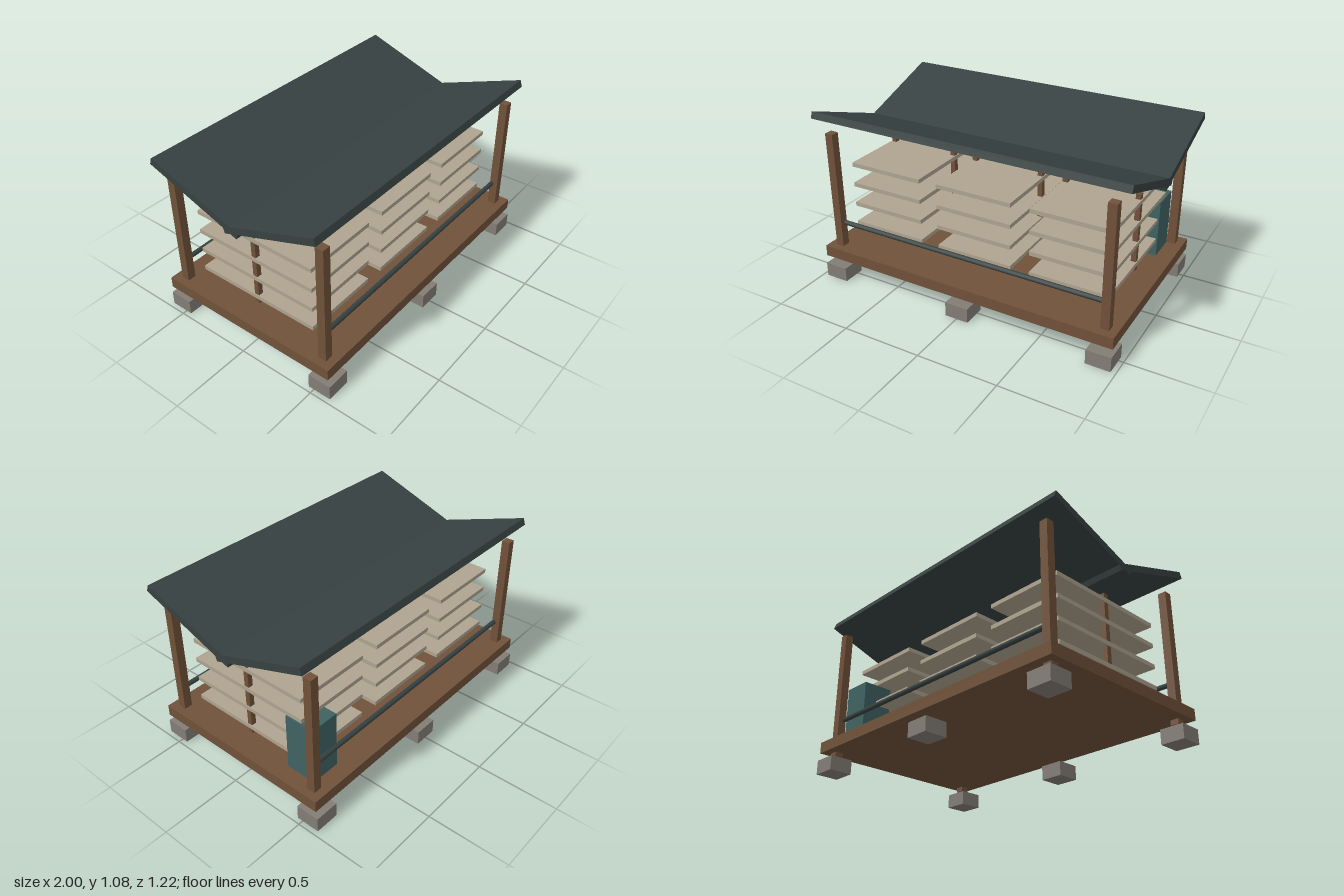
import * as THREE from 'three';

const material = (color) => new THREE.MeshStandardMaterial({ color });

export function createModel() {
  const model = new THREE.Group();
  const wood = material(0x70523a);
  const board = material(0xaea38f);
  const dark = material(0x374141);
  const stone = material(0x827c74);
  const teal = material(0x3f6262);

  const box = (name, mat, size, pos, parent = model) => {
    const mesh = new THREE.Mesh(new THREE.BoxGeometry(...size), mat);
    mesh.name = name;
    mesh.position.set(...pos);
    parent.add(mesh);
    return mesh;
  };

  // Platform
  box('deck', wood, [1.94, 0.07, 1.2], [0, 0.175, 0]);

  for (const side of [1, -1]) {
    // Foundation blocks
    for (const x of [-0.895, 0, 0.895]) {
      box('footing', stone, [0.15, 0.09, 0.147], [x, 0.045, side * 0.537]);
    }

    // Corner posts
    for (const x of [-0.897, 0.897]) {
      box('cornerPost', wood, [0.052, 0.85, 0.052], [x, 0.533, side * 0.524]);
    }

    // Low rail between the posts
    const rail = new THREE.Mesh(new THREE.CylinderGeometry(0.015, 0.015, 1.74, 12), dark);
    rail.name = 'rail';
    rail.rotation.z = Math.PI / 2;
    rail.position.set(0, 0.36, side * 0.51);
    model.add(rail);

    // Roof slab, sloping down to the central valley
    const slab = box('roofSlab', dark, [2, 0.043, 0.648], [0, 0.9575, side * 0.2585]);
    slab.rotation.x = -side * 0.335;
  }

  // Three shelf racks, each with two uprights and four boards
  for (const x of [-0.613, 0, 0.613]) {
    const rack = new THREE.Group();
    rack.name = 'shelfRack';
    rack.position.x = x;
    model.add(rack);
    for (const side of [-1, 1]) {
      box('upright', wood, [0.031, 0.494, 0.031], [side * 0.225, 0.516, 0], rack);
    }
    for (let i = 0; i < 4; i++) {
      box('shelf', board, [0.492, 0.026, 0.822], [0, 0.315 + i * 0.134, 0], rack);
    }
  }

  // Storage cabinet in the back corner
  box('cabinet', teal, [0.185, 0.36, 0.192], [0.775, 0.39, -0.4]);

  return model;
}
